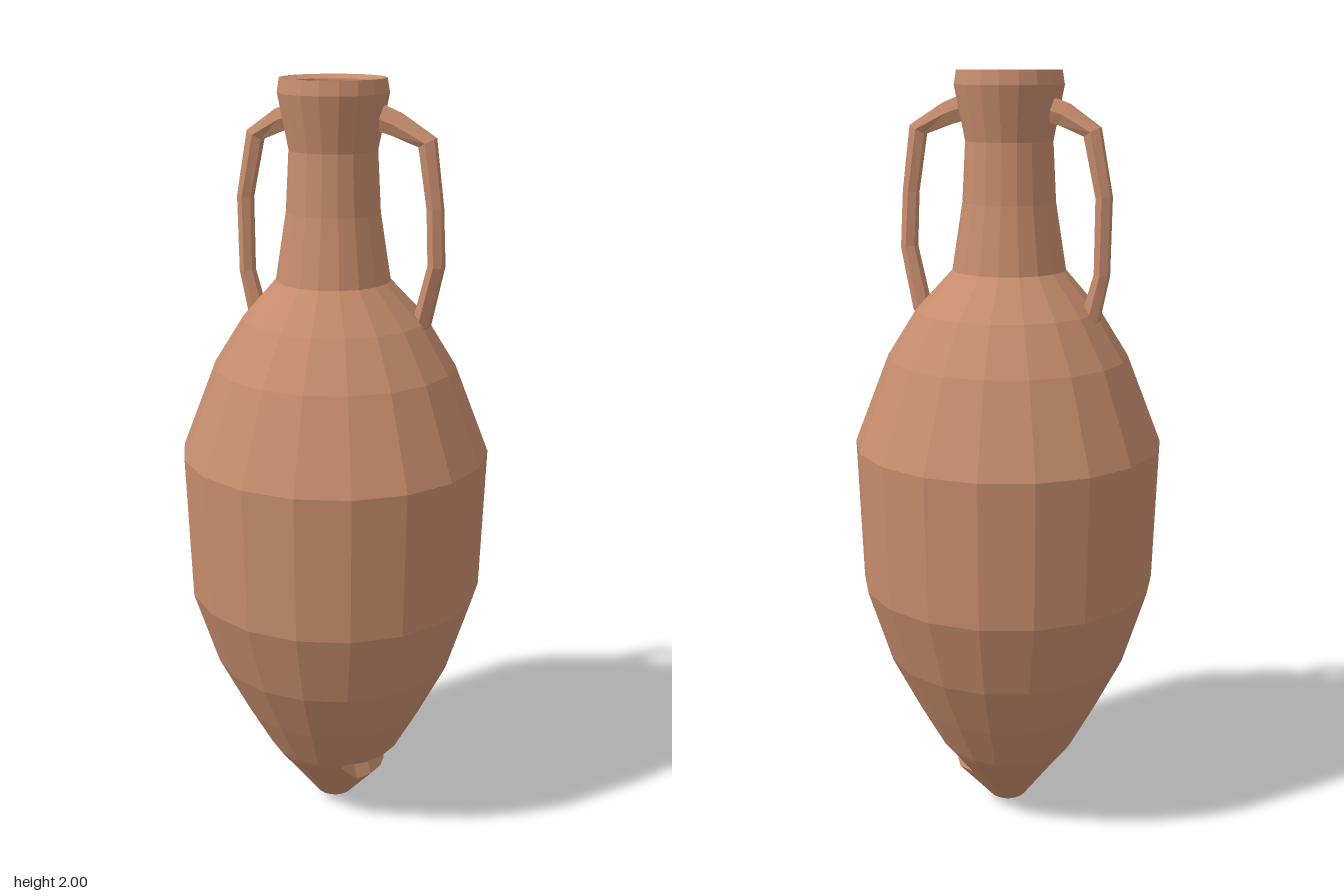
import * as THREE from 'three';

const clay = new THREE.MeshStandardMaterial({ color: 0xc68c6c, flatShading: true });
clay.name = 'terracotta';

// Sweeps a six-sided section along a path lying mostly in the xy plane.
// Each stop is [x, y, z, half thickness in plane, half width across it].
function strap(stops, sides = 6) {
  const pts = stops.map(s => new THREE.Vector3(s[0], s[1], s[2]));
  const pos = [], index = [];
  pts.forEach((p, i) => {
    const t = pts[Math.min(i + 1, pts.length - 1)].clone().sub(pts[Math.max(i - 1, 0)]).normalize();
    const across = new THREE.Vector3(0, 0, 1).addScaledVector(t, -t.z).normalize();
    const out = across.clone().cross(t);
    for (let k = 0; k < sides; k++) {
      const a = (k + 0.5) / sides * Math.PI * 2;
      const v = p.clone().addScaledVector(out, Math.cos(a) * stops[i][3])
        .addScaledVector(across, Math.sin(a) * stops[i][4]);
      pos.push(v.x, v.y, v.z);
    }
  });
  for (let i = 0; i < pts.length - 1; i++) {
    for (let k = 0; k < sides; k++) {
      const a = i * sides + k, b = i * sides + (k + 1) % sides;
      index.push(a, b, a + sides, b, b + sides, a + sides);
    }
  }
  // end caps
  const last = (pts.length - 1) * sides;
  for (let k = 1; k < sides - 1; k++) {
    index.push(0, k + 1, k, last, last + k, last + k + 1);
  }
  const g = new THREE.BufferGeometry();
  g.setAttribute('position', new THREE.Float32BufferAttribute(pos, 3));
  g.setIndex(index);
  g.computeVertexNormals();
  return g;
}

export function createModel() {
  const model = new THREE.Group();
  model.name = 'amphora';
  const add = (name, geometry) => {
    const mesh = new THREE.Mesh(geometry, clay);
    mesh.name = name;
    model.add(mesh);
  };

  // Vessel wall: up the outside, over the rim and down the inside
  const profile = [
    [0, 0], [0.05, 0.03], [0.125, 0.13], [0.172, 0.19], [0.182, 0.205], [0.25, 0.33],
    [0.325, 0.48], [0.388, 0.68], [0.4, 1.06], [0.31, 1.29], [0.235, 1.41],
    [0.145, 1.51], [0.118, 1.68], [0.11, 1.83], [0.137, 1.965], [0.131, 2.0],
    [0.113, 1.99], [0.095, 1.83], [0.1, 1.68], [0.125, 1.52], [0.29, 1.28],
    [0.375, 1.05], [0.365, 0.69], [0.23, 0.36], [0.09, 0.2], [0, 0.17],
  ].map(([r, y]) => new THREE.Vector2(r, y));
  const body = new THREE.LatheGeometry(profile, 18, Math.PI / 18);
  const p = body.attributes.position;
  for (let i = 0; i < p.count; i++) {
    const x = p.getX(i), y = p.getY(i), z = p.getZ(i);
    const r = Math.hypot(x, z);
    // neck sits slightly forward
    if (y > 1.5) p.setZ(i, z + 0.01);
    // chipped ledge on the left side of the foot
    const facing = r > 0.1 ? x / r : 0;
    if (facing > 0.7 && (Math.abs(y - 0.19) < 0.001 || Math.abs(y - 0.13) < 0.001)) {
      const k = y > 0.16 ? 0.68 : 1.12;
      p.setX(i, x * k);
      p.setZ(i, z * k);
    }
  }
  body.computeVertexNormals();
  add('body', body);

  // Handles from the collar down to the shoulder; the left one leans back
  add('leftHandle', strap([
    [0.10, 1.915, 0, 0.036, 0.022], [0.16, 1.895, -0.003, 0.032, 0.02],
    [0.24, 1.855, -0.005, 0.026, 0.02], [0.262, 1.70, -0.008, 0.022, 0.02],
    [0.266, 1.56, -0.015, 0.022, 0.025], [0.225, 1.41, -0.032, 0.024, 0.028],
    [0.20, 1.37, -0.036, 0.02, 0.024],
  ]));
  add('rightHandle', strap([
    [-0.10, 1.91, -0.005, 0.036, 0.022], [-0.15, 1.895, -0.006, 0.032, 0.02],
    [-0.222, 1.855, -0.008, 0.026, 0.02], [-0.254, 1.70, -0.008, 0.022, 0.022],
    [-0.252, 1.51, -0.008, 0.021, 0.022], [-0.225, 1.40, -0.01, 0.026, 0.022],
    [-0.20, 1.36, -0.01, 0.02, 0.02],
  ]));
  return model;
}
